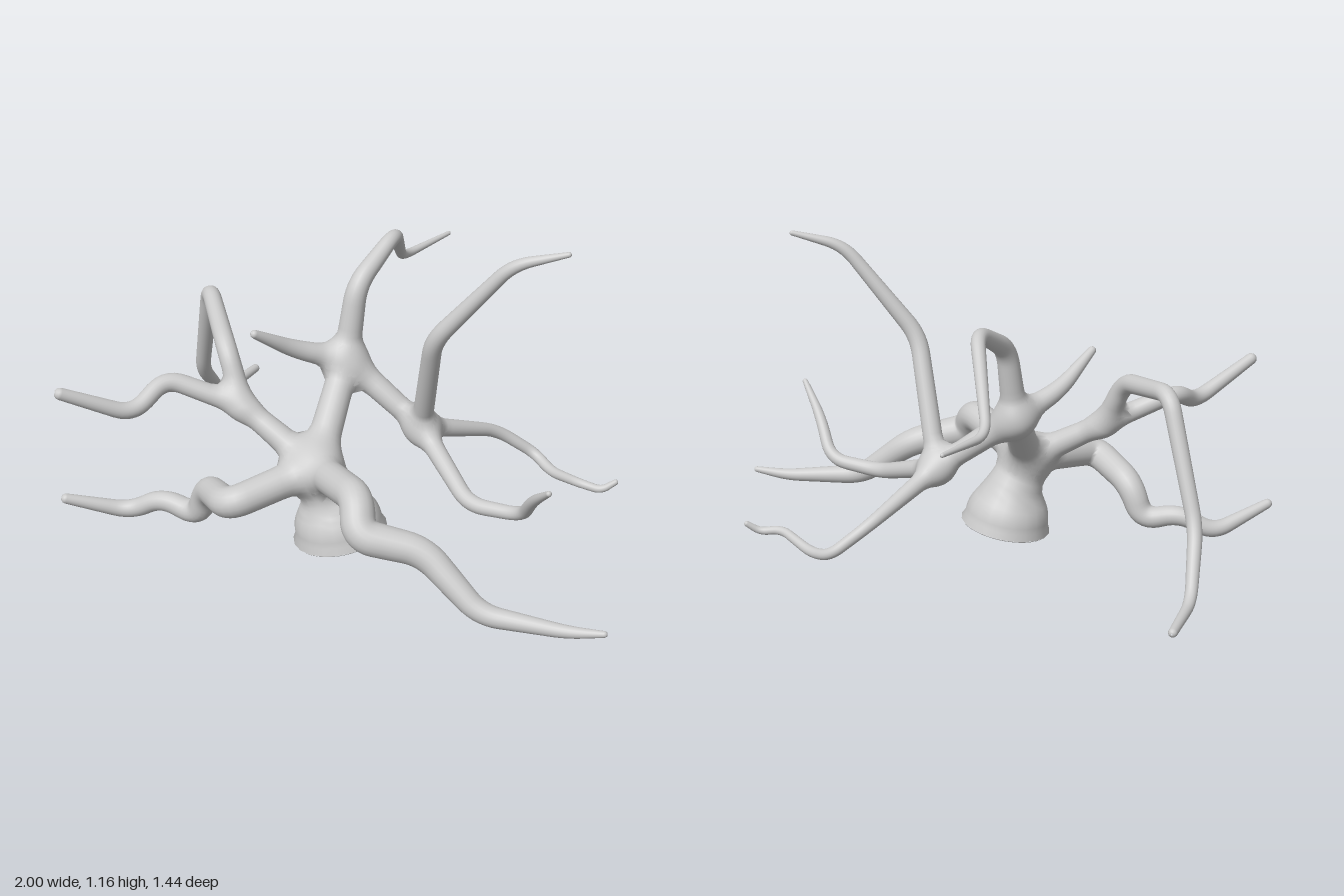
import * as THREE from 'three';

// Control points per limb: [x, y, z, radius]
const ROOT = [-0.11, 0.31, 0.35], CROWN = [-0.11, 0.58, 0.05];
const SIDE = [0.17, 0.37, 0.06], FORK = [-0.39, 0.475, 0.31];
const LIMBS = {
  trunk: [[...ROOT, 0.075], [-0.055, 0.17, 0.325, 0.108], [-0.035, 0.055, 0.32, 0.165]],
  frontLeftLimb: [[...ROOT, 0.058], [0.13, 0.375, 0.59, 0.057], [0.16, 0.28, 0.665, 0.06], [0.37, 0.235, 0.615, 0.052],
    [0.58, 0.065, 0.66, 0.038], [0.87, 0.05, 0.64, 0.022], [0.99, 0.067, 0.635, 0.011]],
  frontRightLimb: [[...ROOT, 0.058], [-0.33, 0.255, 0.595, 0.055], [-0.48, 0.2, 0.43, 0.05], [-0.53, 0.065, 0.41, 0.042],
    [-0.67, 0.105, 0.4, 0.035], [-0.79, 0.032, 0.41, 0.032], [-0.98, 0.11, 0.53, 0.018]],
  rightLimb: [[...ROOT, 0.052], [...FORK, 0.037], [-0.64, 0.58, 0.39, 0.032], [-0.7, 0.5, 0.53, 0.03], [-0.89, 0.62, 0.68, 0.021]],
  rightBackLimb: [[...FORK, 0.036], [-0.47, 0.66, 0.255, 0.035], [-0.65, 0.73, -0.02, 0.031], [-0.765, 0.31, -0.18, 0.027],
    [-0.77, 0.117, -0.36, 0.021], [-0.73, 0.115, -0.585, 0.016]],
  mainStem: [[...ROOT, 0.058], [...CROWN, 0.048]],
  backLimb: [[...CROWN, 0.046], [-0.085, 0.85, 0.01, 0.037], [-0.015, 0.97, -0.185, 0.026], [-0.1, 0.73, -0.5, 0.017], [0.005, 0.745, -0.72, 0.008]],
  shortLimb: [[...CROWN, 0.044], [-0.25, 0.65, 0.17, 0.032], [-0.345, 0.755, 0.3, 0.015]],
  sideStem: [[...CROWN, 0.046], [...SIDE, 0.037]],
  tallLimb: [[...SIDE, 0.036], [0.265, 0.8, 0.225, 0.032], [0.53, 1.12, 0.228, 0.022], [0.705, 1.168, 0.19, 0.009]],
  leftBackLimb: [[...SIDE, 0.036], [0.36, 0.25, -0.21, 0.022], [0.49, 0.15, -0.265, 0.02], [0.57, 0.125, -0.2, 0.019],
    [0.7, 0.16, -0.1, 0.016], [0.78, 0.147, -0.1, 0.014], [0.825, 0.18, -0.115, 0.01]],
  leftFrontLimb: [[...SIDE, 0.036], [0.42, 0.24, 0.295, 0.028], [0.62, 0.26, 0.33, 0.023], [0.68, 0.385, 0.43, 0.02], [0.76, 0.485, 0.53, 0.01]],
};
const SIDES = 20, BLEND = 0.06;
const xyz = (p) => new THREE.Vector3(p.x, p.y, p.z);

// Polyline with rounded corners, sampled densely; w carries the radius
function samplePath(points) {
  const P = points.map((p) => new THREE.Vector4(...p));
  const dist = (a, b) => xyz(a).distanceTo(xyz(b));
  const out = [P[0].clone()];
  const lineTo = (b) => {
    const a = out[out.length - 1].clone(), n = Math.max(1, Math.ceil(dist(a, b) / 0.025));
    for (let i = 1; i <= n; i++) out.push(a.clone().lerp(b, i / n));
  };
  for (let i = 1; i < P.length - 1; i++) {
    const l0 = dist(P[i - 1], P[i]), l1 = dist(P[i], P[i + 1]);
    const d = Math.min(0.065, 0.45 * l0, 0.45 * l1);
    const a = P[i].clone().lerp(P[i - 1], d / l0), b = P[i].clone().lerp(P[i + 1], d / l1);
    lineTo(a);
    for (let k = 1; k <= 7; k++) {
      const t = k / 7;
      out.push(a.clone().lerp(P[i], t).lerp(P[i].clone().lerp(b, t), t));
    }
  }
  lineTo(P[P.length - 1]);
  return out;
}

// Distance to one limb, as a chain of tapered segments
function limbDistance(path, p) {
  let best = Infinity;
  for (let i = 0; i < path.length - 1; i++) {
    const a = path[i], b = path[i + 1];
    const dx = b.x - a.x, dy = b.y - a.y, dz = b.z - a.z;
    const px = p.x - a.x, py = p.y - a.y, pz = p.z - a.z;
    const t = Math.min(1, Math.max(0, (px * dx + py * dy + pz * dz) / (dx * dx + dy * dy + dz * dz)));
    const ex = px - t * dx, ey = py - t * dy, ez = pz - t * dz;
    best = Math.min(best, Math.sqrt(ex * ex + ey * ey + ez * ez) - a.w - t * (b.w - a.w));
  }
  return best;
}

export function createModel() {
  const group = new THREE.Group();
  group.name = 'branchingTree';
  const material = new THREE.MeshStandardMaterial({ color: 0xcccccc });
  const limbs = Object.entries(LIMBS).map(([name, pts]) => {
    const path = samplePath(pts);
    return { name, path, box: new THREE.Box3().setFromPoints(path.map(xyz)).expandByScalar(0.26) };
  });

  // Smooth union of all limbs, which fillets the joints
  const field = (p) => {
    let d = 1;
    for (const { path, box } of limbs) {
      if (!box.containsPoint(p)) continue;
      const e = limbDistance(path, p), h = Math.max(BLEND - Math.abs(d - e), 0);
      d = Math.min(d, e) - (h * h) / (4 * BLEND);
    }
    return d;
  };
  const normalAt = (p) => {
    const e = 0.002, n = new THREE.Vector3();
    for (const k of ['x', 'y', 'z']) {
      const q = p.clone();
      q[k] += e;
      n[k] = field(q);
      q[k] -= 2 * e;
      n[k] -= field(q);
    }
    return n.normalize();
  };
  // Walk outward from inside until the blended surface is met
  const trace = (origin, dir, limit) => {
    const p = origin.clone();
    for (let i = 0, t = 0; i < 16; i++) {
      const f = field(p);
      if (Math.abs(f) < 0.0003) break;
      t = Math.min(limit, Math.max(0, t - f));
      p.copy(origin).addScaledVector(dir, t);
      if (t === limit) break;
    }
    return p;
  };
  const add = (name, geometry) => {
    const mesh = new THREE.Mesh(geometry, material);
    mesh.name = name;
    group.add(mesh);
    return mesh;
  };

  // Limbs: rings swept along each path
  for (const { name, path } of limbs) {
    const rings = path.map((p) => ({ c: xyz(p), r: p.w }));
    const last = rings[rings.length - 1];
    const endDir = last.c.clone().sub(rings[rings.length - 2].c).normalize();
    if (name !== 'trunk') {
      // rounded tip
      for (const s of [0.45, 0.8, 0.97]) rings.push({ c: last.c.clone().addScaledVector(endDir, s * last.r), r: last.r });
    }
    const pos = [], nor = [], index = [];
    let u = new THREE.Vector3(0.31, 0.52, 0.79);
    rings.forEach(({ c, r }, i) => {
      const t = rings[Math.min(i + 1, rings.length - 1)].c.clone().sub(rings[Math.max(i - 1, 0)].c).normalize();
      u.addScaledVector(t, -u.dot(t)).normalize();
      const v = t.clone().cross(u);
      for (let j = 0; j <= SIDES; j++) {
        const a = (j / SIDES) * Math.PI * 2;
        const dir = u.clone().multiplyScalar(Math.cos(a)).addScaledVector(v, Math.sin(a));
        const p = trace(c, dir, r + 0.05);
        pos.push(...p.toArray());
        nor.push(...normalAt(p).toArray());
        if (i && j) {
          const q = i * (SIDES + 1) + j, b = q - SIDES - 1;
          index.push(b - 1, b, q - 1, b, q, q - 1);
        }
      }
    });
    const g = new THREE.BufferGeometry();
    g.setAttribute('position', new THREE.Float32BufferAttribute(pos, 3));
    g.setAttribute('normal', new THREE.Float32BufferAttribute(nor, 3));
    g.setIndex(index);
    add(name, g);

    // Flat, slightly domed underside of the trunk
    if (name === 'trunk') {
      const foot = add('trunkBase', new THREE.SphereGeometry(last.r, 40, 8, 0, Math.PI * 2, 0, Math.PI / 2));
      foot.scale.y = 0.12;
      foot.position.copy(last.c);
      foot.quaternion.setFromUnitVectors(new THREE.Vector3(0, 1, 0), endDir);
    }
  }

  // Joints: spheres pushed out to the blended surface
  for (const [name, at, r] of [['rootJoint', ROOT, 0.075], ['crownJoint', CROWN, 0.05], ['sideJoint', SIDE, 0.04], ['forkJoint', FORK, 0.04]]) {
    const g = new THREE.SphereGeometry(1, 40, 28), c = new THREE.Vector3(...at);
    for (let i = 0; i < g.attributes.position.count; i++) {
      const dir = new THREE.Vector3().fromBufferAttribute(g.attributes.position, i);
      const p = trace(c, dir, r + 0.04), n = normalAt(p);
      g.attributes.position.setXYZ(i, p.x, p.y, p.z);
      g.attributes.normal.setXYZ(i, n.x, n.y, n.z);
    }
    add(name, g);
  }
  return group;
}
